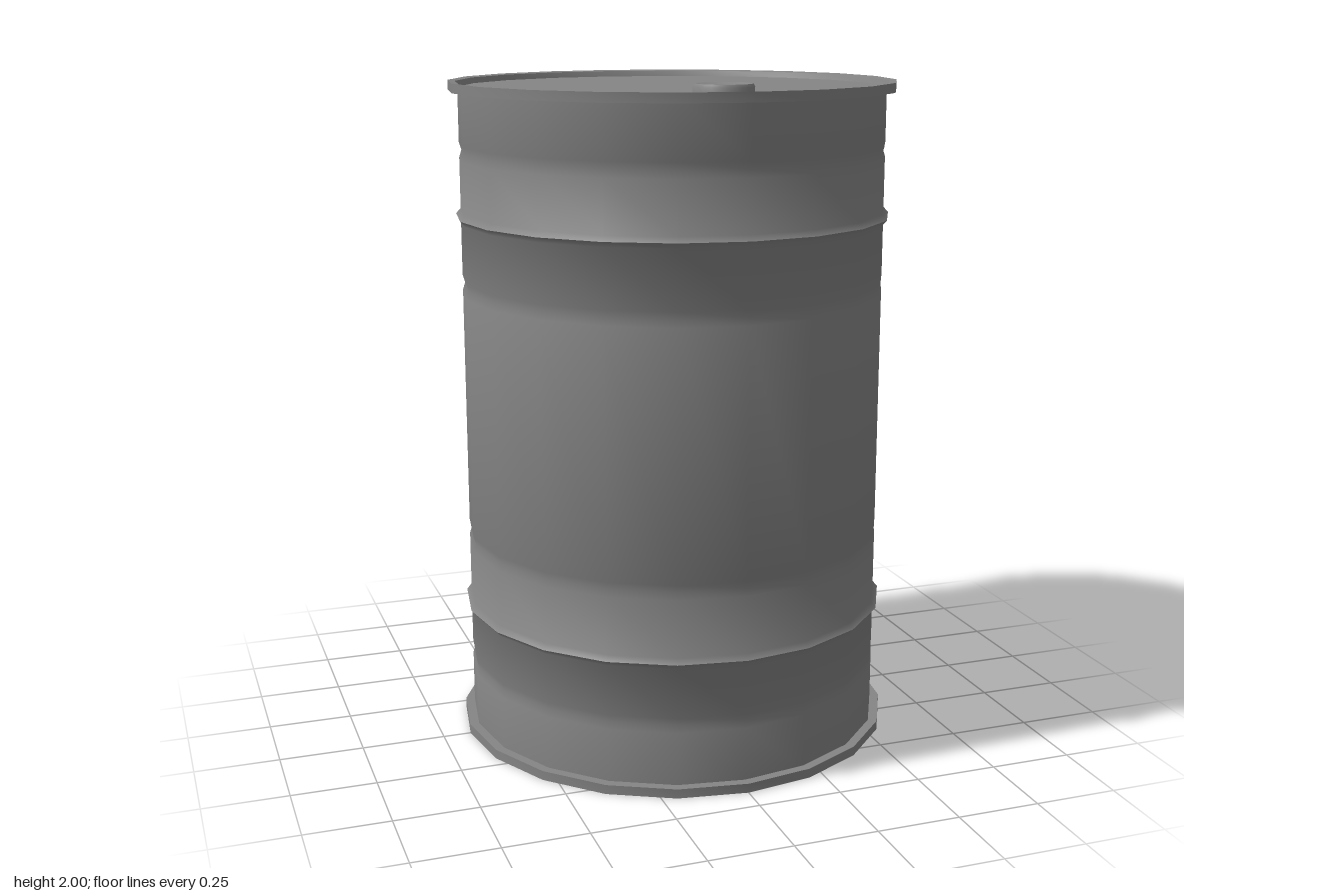
import * as THREE from 'three';
import { toCreasedNormals } from 'three/addons/utils/BufferGeometryUtils.js';

const material = new THREE.MeshStandardMaterial({ color: 0x858585 });

// Revolved part: profile runs from bottom to top as [radius, height]
function lathe(name, profile, sides, crease) {
  const points = profile.map(([r, y]) => new THREE.Vector2(r, y));
  const geometry = toCreasedNormals(new THREE.LatheGeometry(points, sides), crease);
  const mesh = new THREE.Mesh(geometry, material);
  mesh.name = name;
  return mesh;
}

export function createModel() {
  const drum = new THREE.Group();
  drum.name = 'drum';
  const sides = 20, R = 0.638, rimR = 0.666, top = 1.99;

  // Wall features: soft grooves on both sides of each raised hoop
  const groove = (y) => [[R, y - 0.022], [R - 0.007, y], [R, y + 0.022]];
  const hoop = (y) => [[R, y - 0.016], [R + 0.014, y], [R, y + 0.016]];
  const wall = [
    [R, 0.015],
    ...groove(0.21), ...hoop(0.4), ...groove(0.61),
    ...groove(1.385), ...hoop(1.595), ...groove(1.785),
    [R, 1.975],
  ];
  drum.add(lathe('wall', wall, sides, 1));

  // Rims, each with a bevel running in to a recessed end plate
  drum.add(lathe('bottomRim', [
    [0, 0.018], [R, 0.018], [0.645, 0.003], [rimR, 0], [rimR, 0.028], [R, 0.028],
  ], sides, 0.8));
  drum.add(lathe('topRim', [
    [R, top - 0.028], [rimR, top - 0.028], [rimR, top], [0.645, top - 0.003],
    [R, top - 0.02], [0, top - 0.02],
  ], sides, 0.8));

  // Filler cap near the front edge of the lid, with a smoothly dished top
  const cap = lathe('fillerCap', [
    [0.086, 1.965], [0.086, 1.992], [0.081, 2], [0.073, 2],
    [0.055, 1.99], [0.03, 1.984], [0, 1.982],
  ], 24, 0.75);
  cap.position.z = 0.427;
  drum.add(cap);

  return drum;
}
